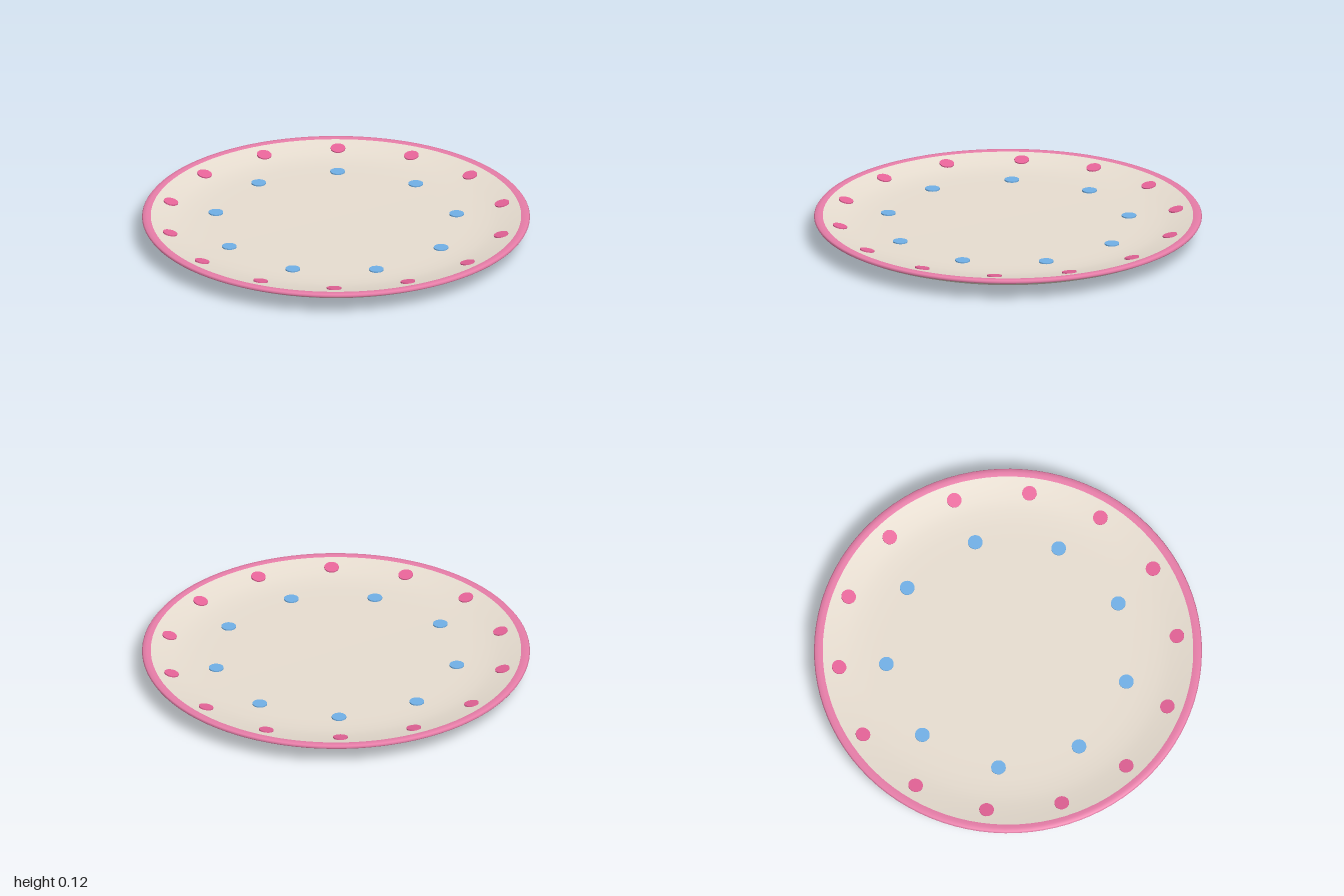
import * as THREE from 'three';

const mat = (name, color) => {
  const m = new THREE.MeshStandardMaterial({ color });
  m.name = name;
  return m;
};

// Revolved surface from [radius, height] points, listed bottom to top so it faces outward
function lathe(name, points, material) {
  const profile = points.map(([r, y]) => new THREE.Vector2(r, y));
  const mesh = new THREE.Mesh(new THREE.LatheGeometry(profile, 96), material);
  mesh.name = name;
  return mesh;
}

// Ring of thin round dots, each tilted to lie on the plate surface
function dotRing(name, count, radius, y, start, tilt, material) {
  const ring = new THREE.Group();
  ring.name = name;
  const geometry = new THREE.CylinderGeometry(0.038, 0.038, 0.008, 20);
  for (let i = 0; i < count; i++) {
    const a = start + (i / count) * Math.PI * 2;
    const pivot = new THREE.Group();
    pivot.rotation.y = -a;
    const dot = new THREE.Mesh(geometry, material);
    dot.name = 'dot';
    dot.position.set(radius, y, 0);
    dot.rotation.z = tilt;
    pivot.add(dot);
    ring.add(pivot);
  }
  return ring;
}

export function createModel() {
  const cream = mat('cream glaze', 0xe8ded1);
  const rimPink = mat('rim pink', 0xec80ac);
  const dotPink = mat('dot pink', 0xf0689f);
  const dotBlue = mat('dot blue', 0x78bbf5);

  const plate = new THREE.Group();
  plate.name = 'plate';

  plate.add(
    // Shallow recess under the plate, foot ring and curved underside
    lathe('underside', [[0, 0.012], [0.4, 0.012], [0.48, 0]], cream),
    lathe('footRing', [[0.48, 0], [0.565, 0], [0.6, 0.02]], cream),
    lathe('outerWall', [[0.6, 0.02], [0.77, 0.03], [0.84, 0.043], [0.9, 0.058],
      [0.96, 0.082], [0.995, 0.1]], cream),
    // Rounded painted lip
    lathe('rim', [[0.995, 0.1], [1, 0.108], [0.994, 0.116], [0.975, 0.119], [0.955, 0.115]], rimPink),
    // Sloping border and flat well
    lathe('well', [[0.955, 0.115], [0.9, 0.102], [0.84, 0.09], [0.78, 0.081],
      [0.7, 0.077], [0.6, 0.076], [0, 0.076]], cream),
    dotRing('borderDots', 14, 0.875, 0.1, 0, 0.21, dotPink),
    dotRing('wellDots', 9, 0.63, 0.079, 0.5, 0, dotBlue)
  );
  return plate;
}
